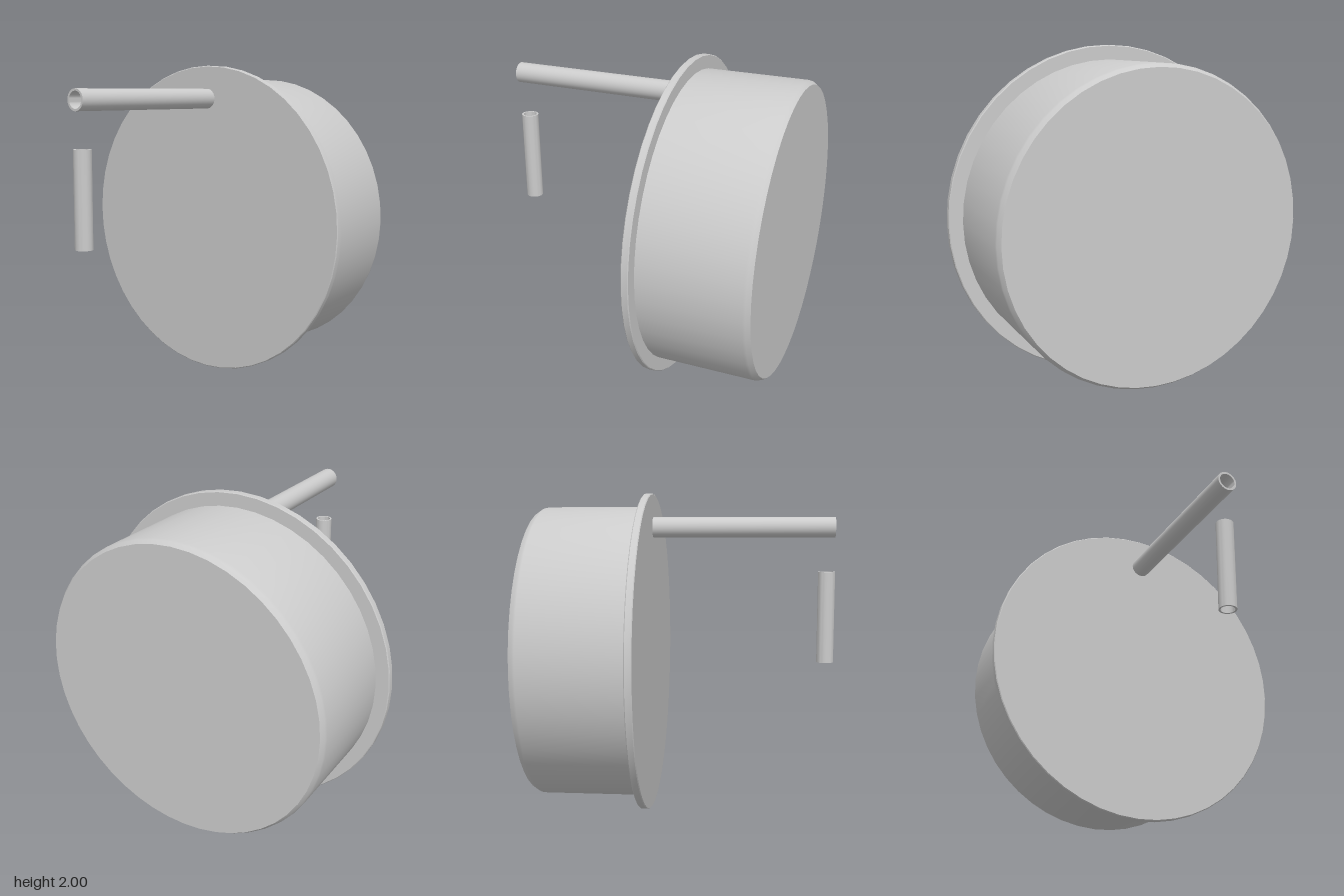
import * as THREE from 'three';
import { toCreasedNormals } from 'three/addons/utils/BufferGeometryUtils.js';

const material = new THREE.MeshStandardMaterial({ color: 0xcccccc });

// Turned part with sharp edges where the profile bends
function turned(name, profile, segments) {
  const points = profile.map(([r, h]) => new THREE.Vector2(r, h));
  const geometry = toCreasedNormals(new THREE.LatheGeometry(points, segments), 0.6);
  const mesh = new THREE.Mesh(geometry, material);
  mesh.name = name;
  return mesh;
}

// Open pipe standing on its lower end
function pipe(name, outer, inner, length) {
  return turned(name, [[inner, 0], [outer, 0], [outer, length], [inner, length], [inner, 0]], 32);
}

export function createModel() {
  const group = new THREE.Group();
  group.name = 'flangedDrum';

  // Front flange, its height axis pointing to the back
  const flange = turned('flange', [
    [0, 0], [0.995, 0], [1, 0.005], [1, 0.04], [0.995, 0.045], [0, 0.045],
  ], 48);
  flange.rotation.x = -Math.PI / 2;
  flange.position.set(0, 1, -0.22);

  // Drum with a chamfered back rim
  const drum = turned('drum', [
    [0.915, 0], [0.915, 0.62], [0.91, 0.635], [0.893, 0.66], [0, 0.66],
  ], 48);
  drum.rotation.x = -Math.PI / 2;
  drum.position.set(0, 1, -0.26);

  // Long pipe reaching forward from the flange
  const longPipe = pipe('longPipe', 0.063, 0.05, 1.135);
  longPipe.rotation.x = Math.PI / 2;
  longPipe.position.set(0, 1.79, -0.22);

  // Short upright pipe below the front end of the long one
  const shortPipe = pipe('shortPipe', 0.053, 0.042, 0.57);
  shortPipe.position.set(0, 0.945, 0.867);

  group.add(flange, drum, longPipe, shortPipe);
  return group;
}
